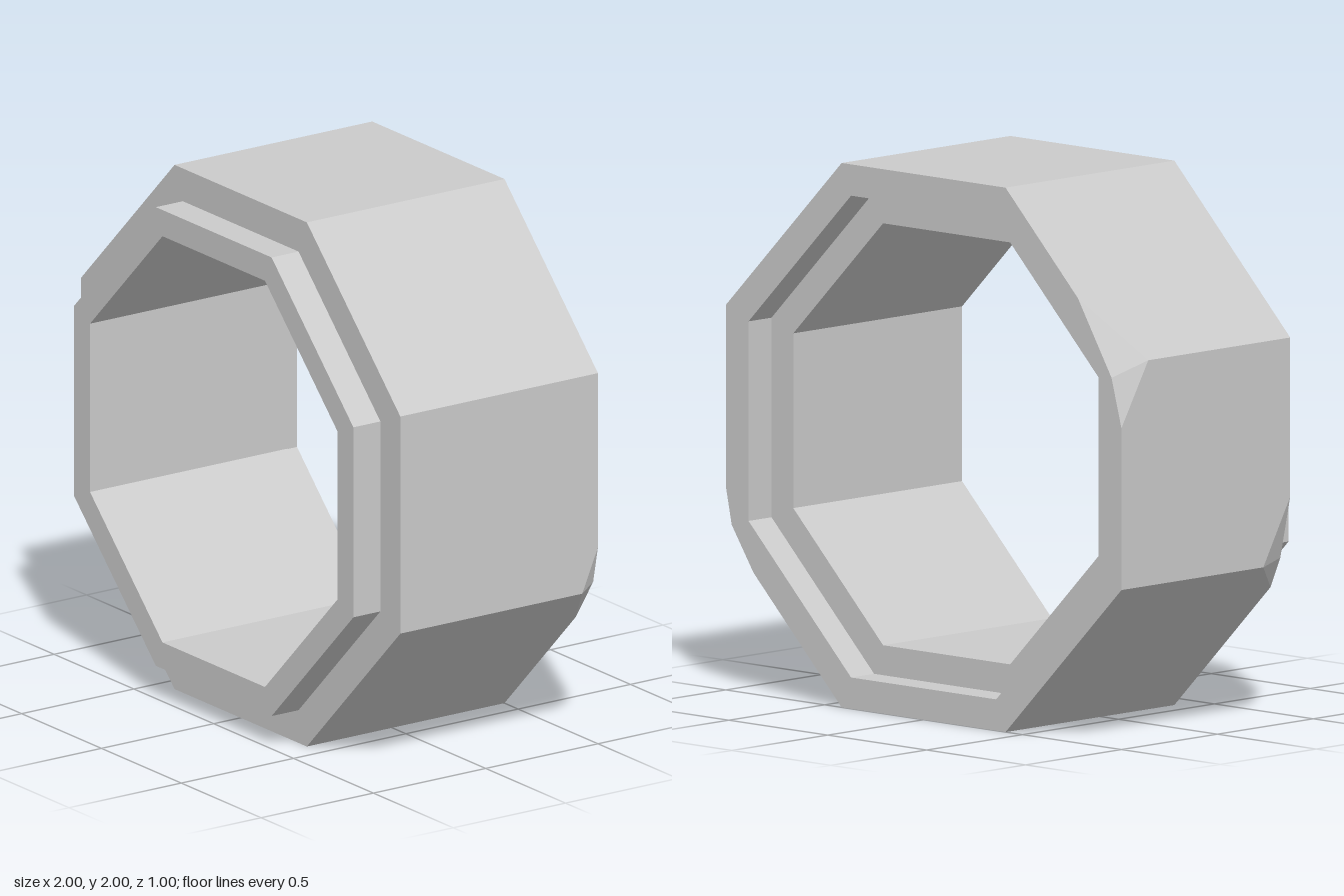
import * as THREE from 'three';

const FRONT = 0.38, BACK = -0.5; // ends of the octagonal body
const LIP = 0.875, BORE = 0.775, RECESS = 0.885; // flat-to-centre distances

const V = (x, y) => new THREE.Vector2(x, y);
const radius = apothem => apothem / Math.cos(Math.PI / 8);

// Octagon corners, counter-clockwise seen from the front
const octagon = apothem => Array.from({ length: 8 }, (_, i) => {
  const a = Math.PI / 8 + i * Math.PI / 4;
  return V(radius(apothem) * Math.cos(a), radius(apothem) * Math.sin(a));
});

// Chipped corners: rim points left by the chip, and where it ends along the corner edge
const chips = [
  { corner: 3, end: 'back', tip: -0.36, rim: [V(-0.78, 0.634), V(-0.95, 0.36), V(-1, 0.18)] },
  { corner: 4, end: 'front', tip: 0.24, rim: [V(-1, -0.17), V(-0.95, -0.4), V(-0.9, -0.514)] },
  { corner: 7, end: 'back', tip: -0.43, rim: [V(0.86, -0.554), V(0.97, -0.39), V(1, -0.25)] },
];

const corners = octagon(1);
const chipAt = (i, end) => chips.find(c => c.corner === i && c.end === end);
const rimAt = (i, end) => chipAt(i, end)?.rim ?? [corners[i]];

// Outer walls with the chip facets
function outerWalls() {
  const pos = [];
  const at = (p, z) => [p.x, p.y, z];
  const fan = pts => {
    for (let k = 1; k < pts.length - 1; k++) pos.push(...pts[0], ...pts[k], ...pts[k + 1]);
  };
  const tip = (i, end) => {
    const c = chipAt(i, end);
    return c ? [at(corners[i], c.tip)] : [];
  };
  for (let i = 0; i < 8; i++) {
    const j = (i + 1) % 8;
    fan([
      at(rimAt(i, 'front').at(-1), FRONT), ...tip(i, 'front'), ...tip(i, 'back'),
      at(rimAt(i, 'back').at(-1), BACK), at(rimAt(j, 'back')[0], BACK),
      ...tip(j, 'back'), ...tip(j, 'front'), at(rimAt(j, 'front')[0], FRONT),
    ]);
  }
  for (const c of chips) {
    const z = c.end === 'front' ? FRONT : BACK;
    const rim = c.rim.map(p => at(p, z));
    if (c.end === 'front') rim.reverse();
    fan([at(corners[c.corner], c.tip), ...rim]);
  }
  const geo = new THREE.BufferGeometry();
  geo.setAttribute('position', new THREE.Float32BufferAttribute(pos, 3));
  geo.computeVertexNormals();
  return geo;
}

// Flat end face between the outer rim and an octagonal opening
function endFace(end, opening) {
  const shape = new THREE.Shape(corners.flatMap((_, i) => rimAt(i, end)));
  shape.holes.push(new THREE.Path(octagon(opening).reverse()));
  const geo = new THREE.ShapeGeometry(shape);
  if (end === 'back') geo.index.array.reverse();
  geo.translate(0, 0, end === 'front' ? FRONT : BACK);
  geo.computeVertexNormals();
  return geo;
}

// Front lip, bore and back recess as one eight-sided turned profile
function innerProfile() {
  const profile = [[LIP, FRONT], [LIP, 0.5], [BORE, 0.5], [BORE, -0.38], [RECESS, -0.38], [RECESS, BACK]]
    .map(([a, z]) => V(radius(a), z));
  const geo = new THREE.LatheGeometry(profile, 8, Math.PI / 8).rotateX(Math.PI / 2).toNonIndexed();
  geo.computeVertexNormals();
  return geo;
}

export function createModel() {
  const material = new THREE.MeshStandardMaterial({ color: 0xcccccc, flatShading: true });
  const model = new THREE.Group();
  model.name = 'octagonalRing';
  const parts = {
    outerWalls: outerWalls(),
    frontFace: endFace('front', LIP),
    backFace: endFace('back', RECESS),
    lipBoreAndRecess: innerProfile(),
  };
  for (const [name, geo] of Object.entries(parts)) {
    const mesh = new THREE.Mesh(geo, material);
    mesh.name = name;
    mesh.position.y = 1;
    model.add(mesh);
  }
  return model;
}
